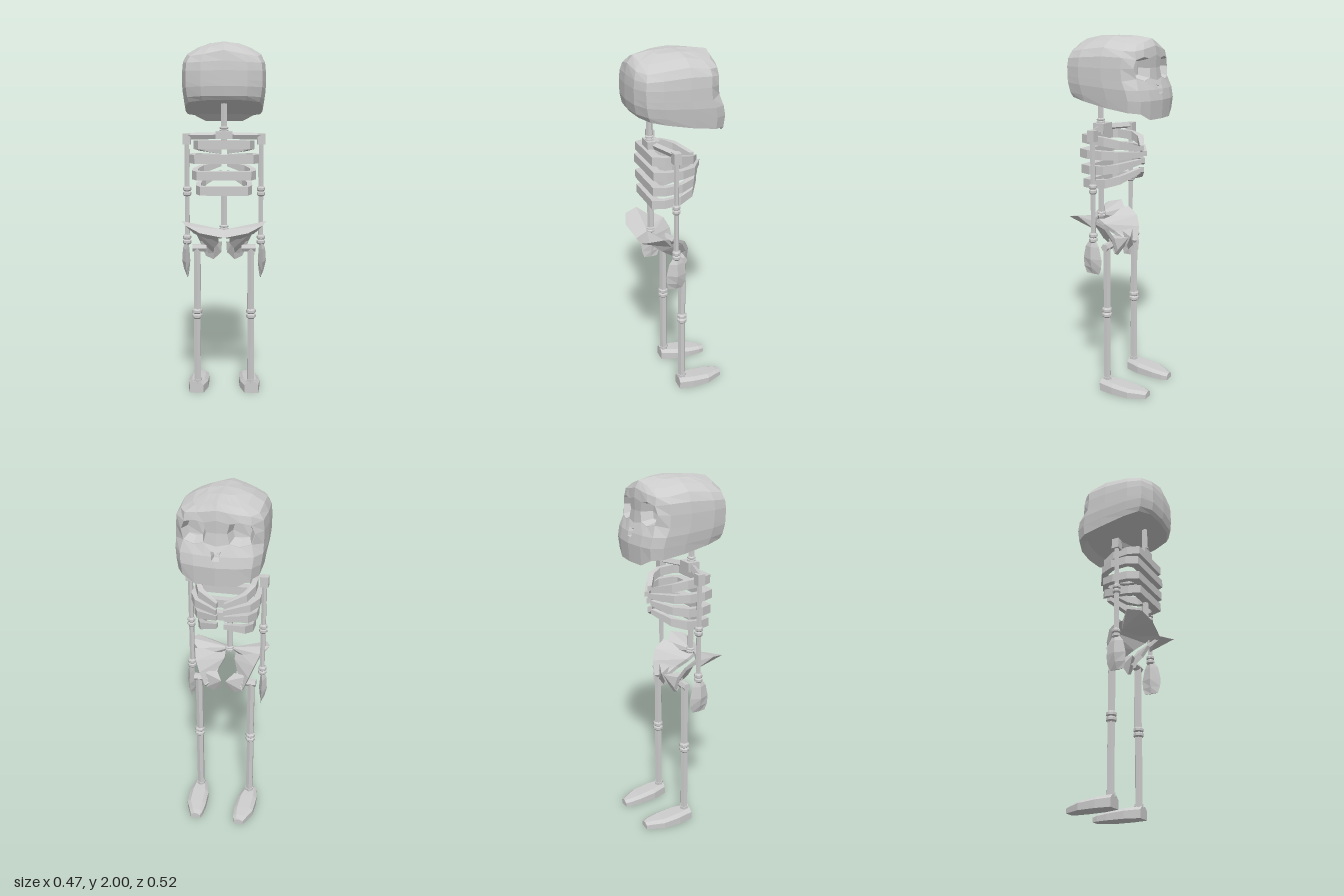
import * as THREE from 'three';
import { ConvexGeometry } from 'three/addons/geometries/ConvexGeometry.js';

const mat = new THREE.MeshStandardMaterial({ color: 0xcccccc, flatShading: true });
const V = (x, y, z) => new THREE.Vector3(x, y, z);

function named(name, geo) {
  const m = new THREE.Mesh(geo, mat);
  m.name = name;
  return m;
}

// Closed solid from consistently ordered polygons; turned outward by its signed volume
function solid(name, polygons) {
  const tris = [];
  for (const p of polygons) for (let i = 1; i < p.length - 1; i++) tris.push([p[0], p[i], p[i + 1]]);
  const volume = tris.reduce((s, [a, b, c]) => s + a.dot(b.clone().cross(c)), 0);
  const pts = tris.flatMap(t => (volume < 0 ? [t[0], t[2], t[1]] : t));
  const geo = new THREE.BufferGeometry().setFromPoints(pts);
  geo.computeVertexNormals();
  return named(name, geo);
}

// Quads bridging two equal closed loops
const bridge = (a, b) => a.map((p, i) => {
  const j = (i + 1) % a.length;
  return [p, a[j], b[j], b[i]];
});

// Capped skin over a row of equal-length cross-sections
function loft(name, loops) {
  const polys = loops.slice(1).flatMap((l, r) => bridge(loops[r], l));
  polys.push([...loops[0]].reverse(), loops[loops.length - 1]);
  return solid(name, polys);
}

// Straight bone between two points
function bone(name, a, b, r, sides = 6) {
  const m = named(name, new THREE.CylinderGeometry(r, r, a.distanceTo(b), sides));
  m.position.copy(a).add(b).multiplyScalar(0.5);
  m.quaternion.setFromUnitVectors(V(0, 1, 0), b.clone().sub(a).normalize());
  return m;
}

// Knobbly joint: two bulges with a waist
function joint(name, x, y, z, r, h) {
  const prof = [[0, -0.5], [0.7, -0.5], [1, -0.35], [1, -0.12], [0.72, 0], [1, 0.12], [1, 0.35], [0.7, 0.5], [0, 0.5]];
  const m = named(name, new THREE.LatheGeometry(prof.map(([a, b]) => new THREE.Vector2(a * r, b * h)), 8));
  m.position.set(x, y, z);
  return m;
}

function skull() {
  // Half outline from the face round to the back
  const half = [[0, -1], [0.22, -0.98], [0.5, -0.95], [0.81, -0.87], [0.97, -0.64], [1, -0.15], [0.97, 0.45], [0.87, 0.8], [0.53, 0.96], [0, 1]];
  // half width, front z, back z, front y, back y, corner drop
  const rows = [
    [0.18, -0.205, 0.2, 1.612, 1.685, 0], [0.215, -0.25, 0.235, 1.605, 1.69, 0], [0.223, -0.257, 0.25, 1.67, 1.71, 0],
    [0.23, -0.244, 0.26, 1.725, 1.76, 0], [0.23, -0.22, 0.26, 1.77, 1.79, 0], [0.23, -0.212, 0.26, 1.835, 1.84, 0],
    [0.225, -0.215, 0.255, 1.9, 1.89, 0.015], [0.203, -0.208, 0.243, 1.948, 1.943, 0.04],
    [0.142, -0.187, 0.213, 1.983, 1.98, 0.04], [0.08, -0.1, 0.12, 1.997, 1.997, 0.012]];
  const N = 18;
  const ring = rows.map(([w, zf, zb, yf, yb, drop], r) => Array.from({ length: N }, (_, c) => {
    const k = Math.min(c, N - c), [nx, nz] = half[k];
    const y = yf + (yb - yf) * ((nz + 1) / 2) ** 1.4 - drop * Math.abs(nx * nz);
    const p = V(nx * w * (c > 9 ? -1 : 1), y, (zf + zb) / 2 + nz * (zb - zf) / 2);
    if (r === 1 && k < 3) p.y = 1.572;          // chin
    return p;
  }));
  // Hollows over 2x2 blocks: first row, first column, corner rounding, lip shrink, depth
  const hollows = [[4, 1, 0.2, 0.03, 0.06], [4, 15, 0.2, 0.03, 0.06], [2, 17, 0, 0.6, 0.04]];
  const hollowed = (r, c) => hollows.some(([r0, c0]) => r >= r0 && r < r0 + 2 && (c - c0 + N) % N < 2);
  const polys = [];
  for (const [r0, c0, round, shrink, depth] of hollows) {
    const at = (r, c) => ring[r0 + r][(c0 + c) % N];
    const rim = [[0, 0], [0, 1], [0, 2], [1, 2], [2, 2], [2, 1], [2, 0], [1, 0]].map(([r, c]) => at(r, c));
    const mid = at(1, 1);
    for (const i of [0, 2, 4, 6]) rim[i].lerp(mid, round);
    const lip = rim.map(p => p.clone().lerp(mid, shrink));
    const inner = lip.map(p => p.clone().lerp(mid, 0.3).add(V(0, 0, depth)));
    polys.push(...bridge(rim, lip), ...bridge(lip, inner), inner);
  }
  const base = V(0, 1.64, 0), crown = V(0, 2, 0.01), last = ring[ring.length - 1];
  for (let c = 0; c < N; c++) {
    const d = (c + 1) % N;
    for (let r = 0; r < rows.length - 1; r++)
      if (!hollowed(r, c)) polys.push([ring[r][c], ring[r][d], ring[r + 1][d], ring[r + 1][c]]);
    polys.push([ring[0][d], ring[0][c], base], [last[c], last[d], crown]);
  }
  return solid('skull', polys);
}

// Rib: rectangular section swept round the chest, thinning towards the breastbone
function rib(w, yBack, yFront, zFront) {
  // x, z, rise, half height
  const path = [[0, 0.165, 0, 0.024], [0.84 * w, 0.165, 0, 0.024], [w, 0.1, 0.03, 0.024], [w, 0.01, 0.14, 0.024], [0.8 * w, -0.07, 0.45, 0.022], [0.02, zFront, 1, 0.014]];
  const section = ([x, z, t, h], s) => {
    const y = yBack + (yFront - yBack) * t, k = 0.82;
    const ix = s * x * k, iz = z > 0.12 ? z - 0.045 : z + (z < 0 ? 0.025 : 0);
    return [V(s * x, y - h, z), V(s * x, y + h, z), V(ix, y + h, iz), V(ix, y - h, iz)];
  };
  const right = path.slice(1).reverse().map(p => section(p, -1));
  return loft('rib', [...right, ...path.map(p => section(p, 1))]);
}

function side(s) {
  const g = new THREE.Group();
  g.name = s > 0 ? 'leftSide' : 'rightSide';
  const P = (x, y, z) => V(s * x, y, z);

  // Shoulder and arm
  g.add(bone('collarbone', P(0.02, 1.5, 0.12), P(0.205, 1.495, 0.055), 0.019, 4));
  const shoulder = named('shoulder', new THREE.BoxGeometry(0.044, 0.06, 0.042));
  shoulder.position.copy(P(0.205, 1.48, 0.055));
  g.add(shoulder,
    bone('upperArm', P(0.205, 1.2, 0.055), P(0.205, 1.46, 0.055), 0.015),
    joint('elbow', s * 0.205, 1.192, 0.055, 0.023, 0.055),
    bone('forearm', P(0.205, 0.92, 0.055), P(0.205, 1.18, 0.055), 0.015),
    joint('wrist', s * 0.207, 0.92, 0.055, 0.024, 0.055));
  // y, centre x, half thickness, rear z, front z
  const hand = [[0.905, 0.21, 0.01, 0.075, 0.035], [0.87, 0.213, 0.018, 0.1, 0.015], [0.8, 0.213, 0.023, 0.115, 0],
    [0.75, 0.21, 0.015, 0.113, 0.003], [0.71, 0.205, 0.004, 0.1, 0.02]];
  g.add(loft('hand', hand.map(([y, x, t, a, b]) => {
    const m = (a + b) / 2;
    return [P(x, y, a), P(x + t, y, m), P(x, y, b), P(x - t, y, m)];
  })));

  // Hip bone: flared wing, curved blade and lower arch
  g.add(named('hipWing', new ConvexGeometry([P(0.235, 1.037, 0.135), P(0.207, 1.022, 0.21), P(0.13, 0.985, 0.235),
    P(0, 0.955, 0.215), P(0, 0.99, 0.15), P(0.18, 1.005, 0.08), P(0.17, 0.955, 0.07), P(0.09, 0.935, 0.13)])));
  // Outer and inner edge of the blade, from the wing down to the arch
  const blade = [[P(0.19, 1, 0.075), P(0.03, 0.95, 0.195)], [P(0.168, 0.96, 0.005), P(0.03, 0.915, 0.14)],
    [P(0.142, 0.9, -0.025), P(0.055, 0.875, 0.085)], [P(0.11, 0.82, -0.03), P(0.06, 0.835, 0.02)]];
  const skin = P(0, 0.015, -0.015);
  g.add(loft('hipBlade', blade.map(([a, b]) => [a, b, b.clone().add(skin), a.clone().add(skin)])));
  g.add(named('hipArch', new ConvexGeometry([P(0.135, 0.9, 0), P(0.105, 0.81, -0.02), P(0.06, 0.79, -0.015),
    P(0.016, 0.83, -0.03), P(0.012, 0.885, -0.055), P(0.05, 0.9, 0.02)])));

  // Leg
  g.add(bone('hipJoint', P(0.1, 0.86, 0), P(0.18, 0.86, 0), 0.022),
    bone('thigh', P(0.153, 0.48, 0), P(0.153, 0.86, 0), 0.022),
    joint('knee', s * 0.155, 0.475, 0, 0.029, 0.06),
    bone('shin', P(0.155, 0.05, 0), P(0.155, 0.47, 0), 0.022),
    bone('ankle', P(0.155, 0.055, 0), P(0.155, 0.078, 0), 0.027));
  // z, inner x, outer x, height
  const foot = [[0.025, 0.12, 0.2, 0.066], [-0.06, 0.095, 0.21, 0.06], [-0.16, 0.09, 0.205, 0.05], [-0.225, 0.095, 0.175, 0.042], [-0.255, 0.105, 0.161, 0.035]];
  g.add(loft('foot', foot.map(([z, a, b, h]) => [P(a, 0, z), P(b, 0, z), P(b, h * 0.7, z),
    P(b - 0.02, h, z), P(a + 0.02, h, z), P(a, h * 0.7, z)])));
  return g;
}

export function createModel() {
  const model = new THREE.Group();
  model.name = 'skeleton';
  model.add(skull());

  // Neck and lower spine, with a collar at the neck and a knob at the pelvis
  model.add(bone('neck', V(0, 1.46, 0.13), V(0, 1.68, 0.13), 0.018), bone('lowerSpine', V(0, 0.98, 0.13), V(0, 1.21, 0.13), 0.018));
  const collar = named('neckBase', new THREE.BoxGeometry(0.09, 0.04, 0.07));
  collar.position.set(0, 1.505, 0.12);
  model.add(collar, joint('spineBase', 0, 1, 0.13, 0.025, 0.03), joint('neckJoint', 0, 1.535, 0.13, 0.024, 0.03));

  // Rib cage: half width, back y, front y, front z
  const cage = new THREE.Group();
  cage.name = 'ribCage';
  for (const r of [[0.165, 1.452, 1.4, -0.135], [0.19, 1.375, 1.37, -0.152], [0.175, 1.285, 1.33, -0.14], [0.155, 1.203, 1.28, -0.135]])
    cage.add(rib(...r));
  model.add(cage, side(1), side(-1));
  return model;
}
